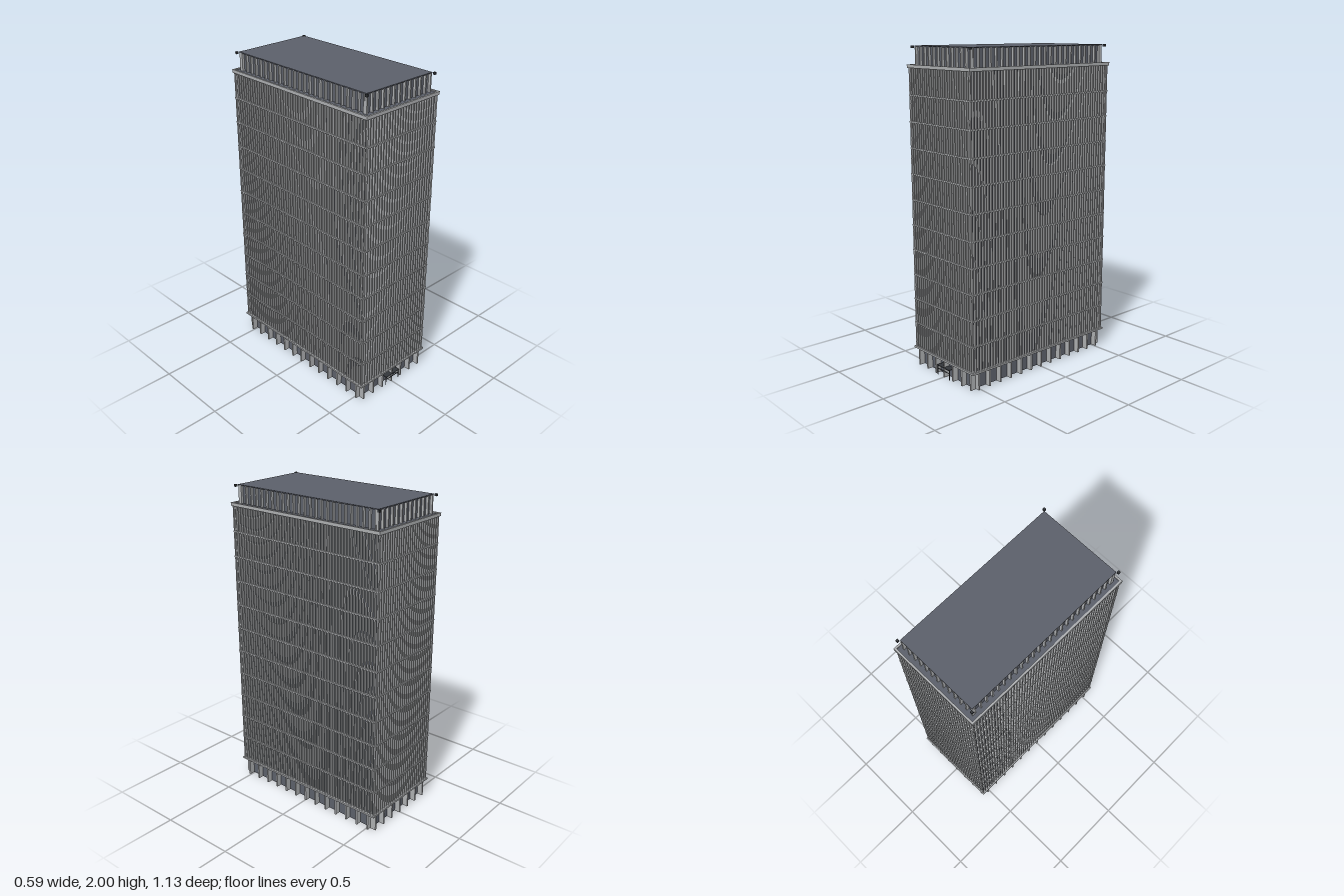
import * as THREE from 'three';
import { mergeGeometries } from 'three/addons/utils/BufferGeometryUtils.js';

const paint = (name, color) => {
  const m = new THREE.MeshStandardMaterial({ color });
  m.name = name;
  return m;
};

// Box from its size, centre x/z and bottom/top heights
function block(w, d, y0, y1, x = 0, z = 0) {
  return new THREE.BoxGeometry(w, y1 - y0, d).translate(x, (y0 + y1) / 2, z);
}

// Rectangular band around the tower, outer half sizes hx, hz and thickness t
function ring(hx, hz, t, y0, y1) {
  const parts = [];
  for (const s of [-1, 1]) {
    parts.push(block(2 * hx, t, y0, y1, 0, s * (hz - t / 2)));
    parts.push(block(t, 2 * (hz - t), y0, y1, s * (hx - t / 2), 0));
  }
  return mergeGeometries(parts);
}

// Vertical fins on all four sides of a wall of half sizes hx, hz;
// nx and nz count the fins on each side of the middle one
function fins(hx, hz, depth, width, step, nx, nz, y0, y1) {
  const parts = [];
  for (const s of [-1, 1]) {
    for (let i = -nx; i <= nx; i++) {
      parts.push(block(width, depth, y0, y1, i * step, s * (hz + depth / 2)));
    }
    for (let i = -nz; i <= nz; i++) {
      parts.push(block(depth, width, y0, y1, s * (hx + depth / 2), i * step));
    }
  }
  return mergeGeometries(parts);
}

export function createModel() {
  const glass = paint('slateGlass', 0x5c606a);
  const trim = paint('paleMetal', 0xacaeb0);
  const dark = paint('darkMetal', 0x33363a);
  const model = new THREE.Group();
  model.name = 'officeTower';
  const add = (name, geometry, material) => {
    const mesh = new THREE.Mesh(geometry, material);
    mesh.name = name;
    model.add(mesh);
  };

  // Recessed ground floor, open underneath
  add('baseWalls', ring(0.25, 0.52, 0.006, 0, 0.112), glass);
  add('basePillars', fins(0.25, 0.52, 0.036, 0.011, 0.0852, 3, 6, 0, 0.112), trim);

  // Main shaft with close-set mullions
  add('shaft', block(0.546, 1.092, 0.112, 1.88), glass);
  add('mullions', fins(0.273, 0.546, 0.013, 0.0075, 0.02135, 13, 26, 0.118, 1.87), trim);

  // Thin floor bands
  const bands = [];
  for (let i = 1; i <= 10; i++) {
    const y = 0.12 + i * 0.159;
    bands.push(ring(0.288, 0.561, 0.016, y - 0.004, y + 0.004));
  }
  add('floorBands', mergeGeometries(bands), trim);

  // Ledges at the foot and head of the shaft
  add('lowerLedge', ring(0.294, 0.566, 0.022, 0.109, 0.12), trim);
  add('upperLedge', ring(0.294, 0.566, 0.012, 1.87, 1.89), trim);
  add('setbackRoof', block(0.566, 1.11, 1.87, 1.884), glass);

  // Crown set back from the shaft
  add('crownWalls', block(0.49, 1.03, 1.88, 1.995), glass);
  add('crownFins', fins(0.245, 0.515, 0.015, 0.009, 0.0425, 6, 12, 1.884, 1.994), trim);
  add('roof', block(0.524, 1.06, 1.994, 2), glass);

  // Small lamps at the roof corners
  const lamps = [];
  for (const sx of [-1, 1]) {
    for (const sz of [-1, 1]) {
      lamps.push(block(0.014, 0.014, 1.986, 2, sx * 0.271, sz * 0.54));
    }
  }
  add('cornerLamps', mergeGeometries(lamps), dark);

  // Entrance canopy and door frame
  add('canopy', block(0.12, 0.045, 0.062, 0.066, 0, 0.542), dark);
  const frame = [block(0.12, 0.004, 0.04, 0.043, 0, 0.559)];
  for (const s of [-1, 1]) frame.push(block(0.004, 0.004, 0, 0.063, s * 0.058, 0.559));
  add('doorFrame', mergeGeometries(frame), dark);

  return model;
}
